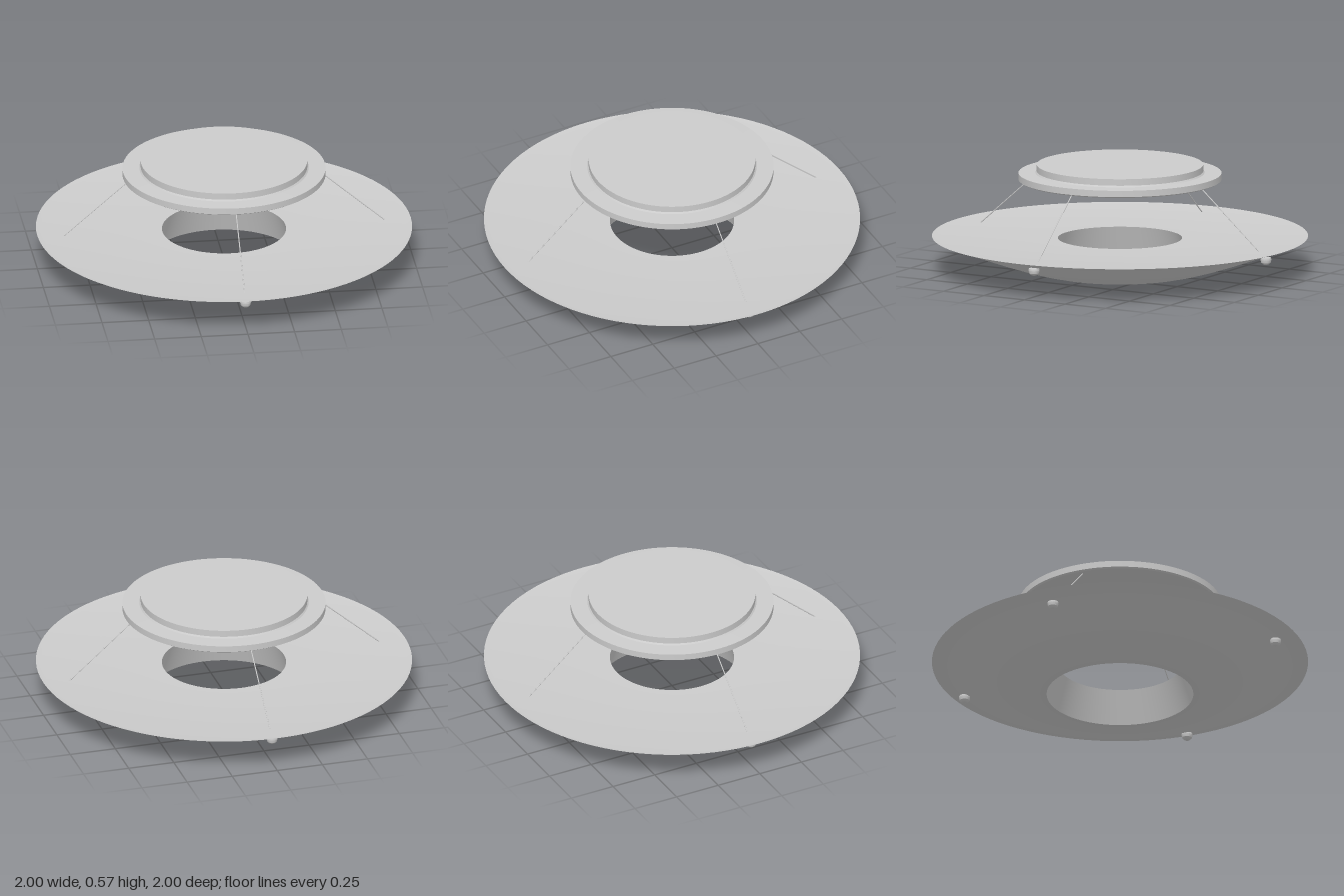
import * as THREE from 'three';
import { toCreasedNormals } from 'three/addons/utils/BufferGeometryUtils.js';

const grey = new THREE.MeshStandardMaterial({ color: 0xcccccc });

// Revolve a profile of [radius, height] points, ordered bottom, outside, top
function revolve(name, points, segments) {
  const profile = points.map(([r, y]) => new THREE.Vector2(r, y));
  const geometry = toCreasedNormals(new THREE.LatheGeometry(profile, segments), 0.5);
  const mesh = new THREE.Mesh(geometry, grey);
  mesh.name = name;
  return mesh;
}

// Thin round rod between two points
function rod(name, from, to, radius) {
  const axis = to.clone().sub(from);
  const mesh = new THREE.Mesh(new THREE.CylinderGeometry(radius, radius, axis.length(), 8), grey);
  mesh.position.copy(from).add(to).multiplyScalar(0.5);
  mesh.quaternion.setFromUnitVectors(new THREE.Vector3(0, 1, 0), axis.normalize());
  mesh.name = name;
  return mesh;
}

export function createModel() {
  const model = new THREE.Group();
  model.name = 'suspendedDish';

  // Lower dish: curved underside, nearly flat top, conical hole in the middle
  model.add(revolve('lowerDish', [
    [0.33, 0.178], [0.39, 0], [0.41, 0], [0.5, 0.022], [0.6, 0.052], [0.7, 0.086],
    [0.8, 0.122], [0.9, 0.158], [0.97, 0.181], [1, 0.19],
    [0.97, 0.184], [0.33, 0.178],
  ], 96));

  // Upper disc: wide rim with a raised round cap
  model.add(revolve('upperDisc', [
    [0, 0.49], [0.53, 0.49], [0.54, 0.496], [0.54, 0.53],
    [0.45, 0.532], [0.443, 0.54], [0.443, 0.575], [0, 0.575],
  ], 96));

  // Four struts and four small rounded feet, a quarter turn apart
  for (let i = 0; i < 4; i++) {
    const quarter = new THREE.Group();
    quarter.name = 'supportQuarter';
    quarter.add(rod('strut', new THREE.Vector3(0.865, 0.177, 0), new THREE.Vector3(0.5, 0.492, 0), 0.003));

    const foot = revolve('foot', [
      [0, 0], [0.015, 0.004], [0.026, 0.014], [0.03, 0.03], [0.028, 0.04], [0, 0.04],
    ], 16);
    foot.position.set(0.9, 0.114, 0);
    quarter.add(foot);

    quarter.rotation.y = i * Math.PI / 2;
    model.add(quarter);
  }
  return model;
}
